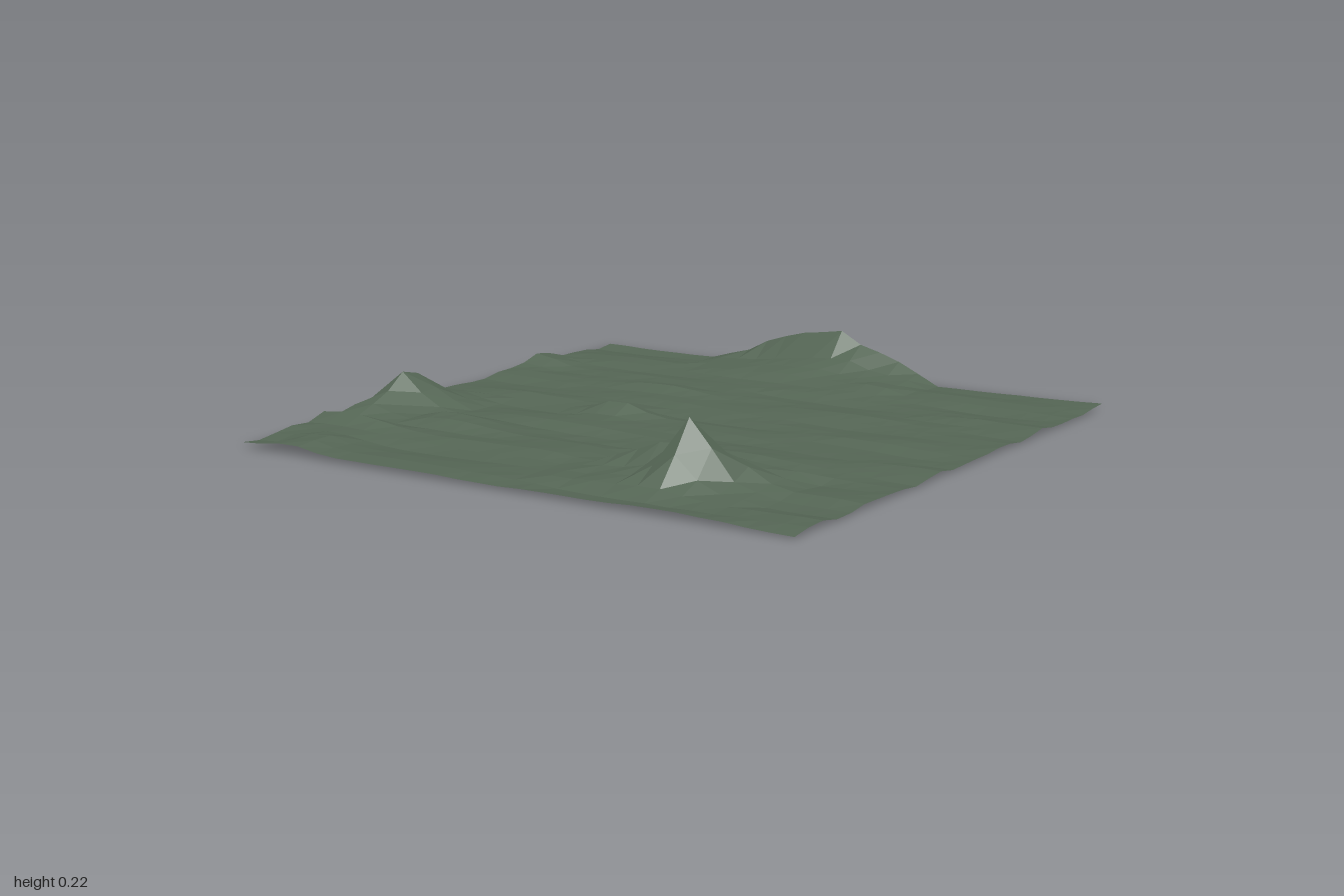
import * as THREE from 'three';

const SEG = 26; // grid cells per side

// Steep hills: first column, first row, then rows of heights in hundredths
const hills = [
  // front right peak
  { col: 14, row: 19, rows: [
    [2, 3, 4, 5, 5.5, 6, 5.5, 5, 4.5],
    [2.5, 3, 5, 7.5, 8.5, 9, 8, 6, 4],
    [3, 6, 8.5, 11.5, 12, 13, 11.5, 8, 4],
    [3, 4, 4.5, 6, 12, 22.3, 14, 5, 3],
    [3, 3, 4, 4.5, 8.5, 12.5, 6, 3, 2.5],
    [3, 3, 3.5, 3.5, 4, 4, 3, 2.5, 2],
  ] },
  // left edge peak
  { col: 0, row: 14, rows: [
    [3, 4, 4.5, 3],
    [4, 7, 6, 4],
    [6, 12.5, 8.5, 5],
    [7, 14.2, 8, 4],
    [5.5, 9, 5, 3],
    [5, 6, 4, 3],
  ] },
  // back edge ridge
  { col: 7, row: 0, rows: [
    [4.5, 6.5, 10.5, 13, 15, 16, 17.2, 13, 11, 8.5, 5],
    [4, 4.5, 5, 6, 7, 8, 8.5, 8.5, 6, 5, 4],
    [3.5, 4, 4.5, 5, 5.5, 6, 6, 5, 4.5, 4, 3.5],
    [3, 3.5, 4, 4, 4.5, 4.5, 4, 4, 4, 4.5, 4],
  ] },
];

// Low swells: x, z, height, x radius, z radius
const swells = [
  [-0.27, 0, 0.045, 0.11, 0.07],
  [-0.34, -0.38, 0.03, 0.2, 0.07],
  [-1, -0.54, 0.045, 0.12, 0.09],
  [-0.92, 0.61, 0.035, 0.2, 0.08],
  [-0.6, 0.44, 0.035, 0.2, 0.08],
  [-0.8, 0.9, 0.03, 0.1, 0.13],
  [0.23, -0.77, 0.02, 0.1, 0.06],
  [-0.6, -0.69, 0.015, 0.3, 0.08],
  [0.35, 0.23, 0.012, 0.25, 0.08],
  [-0.1, 0.61, 0.02, 0.2, 0.08],
];

// Seeded value per grid point, 0 to 1
function hash(i, j) {
  const s = Math.sin(i * 127.1 + j * 311.7 + 5.3) * 43758.5453;
  return s - Math.floor(s);
}

// Rolling ground, with ripples stretched along x
function ground(x, z, i, j) {
  let y = 0.021 - 0.003 * x;
  y += 0.005 * Math.sin(x * 5 + z * 17) + 0.004 * Math.sin(z * 27 - x * 4 + 1);
  y += 0.01 * ((hash(i, j) + hash(i + 1, j) + hash(i + 2, j)) / 3 - 0.5);
  for (const [cx, cz, h, rx, rz] of swells) {
    y += h * Math.exp(-(((x - cx) / rx) ** 2) - ((z - cz) / rz) ** 2);
  }
  return y;
}

function heightAt(i, j) {
  for (const { col, row, rows } of hills) {
    const h = rows[j - row]?.[i - col];
    if (h !== undefined) return h / 100;
  }
  return ground((i / SEG) * 2 - 1, (j / SEG) * 2 - 1, i, j);
}

export function createModel() {
  const group = new THREE.Group();
  group.name = 'landscape';

  // Flat grid raised point by point
  const geometry = new THREE.PlaneGeometry(2, 2, SEG, SEG).rotateX(-Math.PI / 2);
  const pos = geometry.attributes.position;
  for (let k = 0; k < pos.count; k++) {
    pos.setY(k, heightAt(k % (SEG + 1), Math.floor(k / (SEG + 1))));
  }
  geometry.computeBoundingBox();
  geometry.translate(0, -geometry.boundingBox.min.y, 0);
  geometry.computeVertexNormals();

  const terrain = new THREE.Mesh(geometry, new THREE.MeshStandardMaterial({
    color: 0x556655, flatShading: true, side: THREE.DoubleSide,
  }));
  terrain.name = 'terrain';
  group.add(terrain);
  return group;
}
